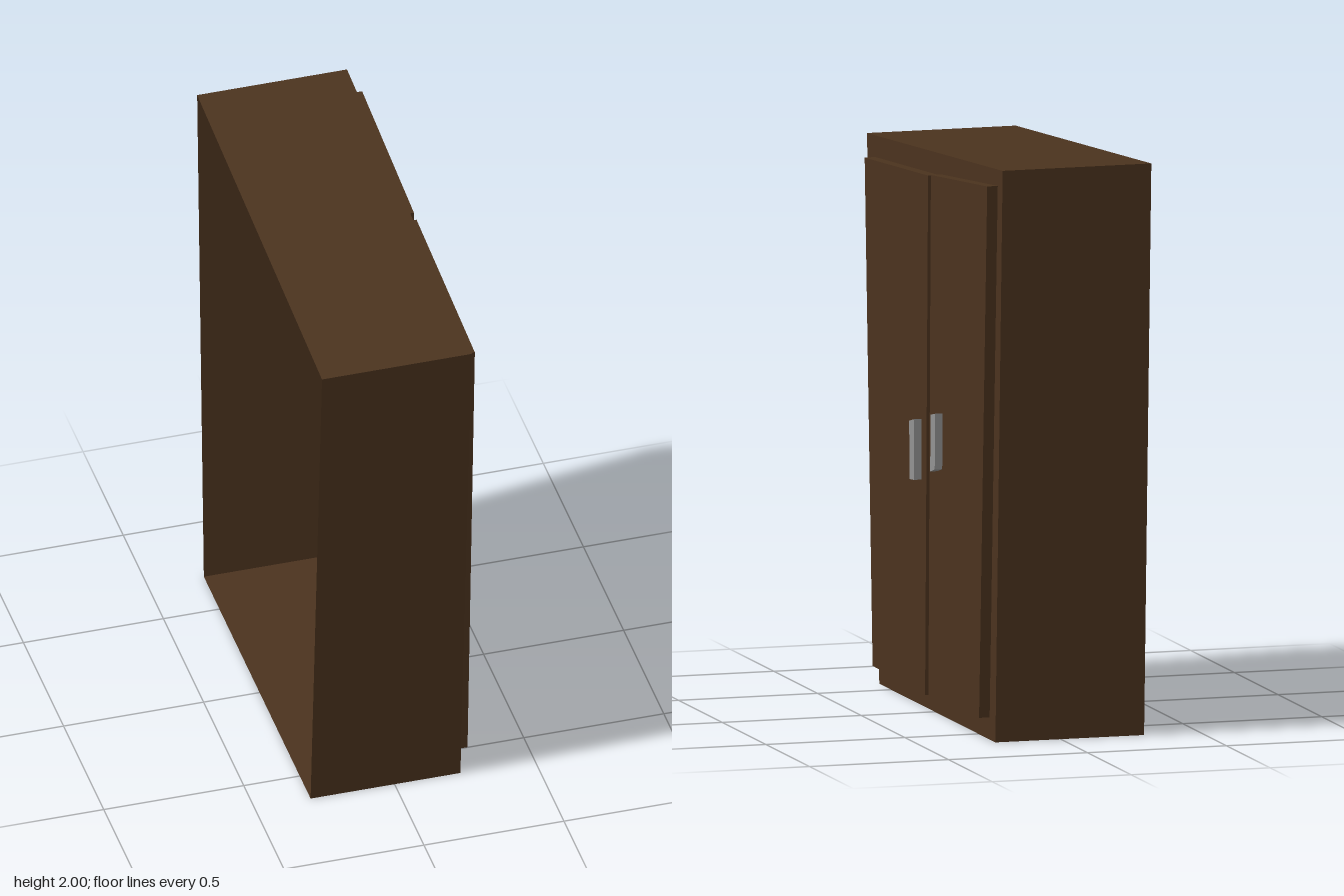
import * as THREE from 'three';

const wood = new THREE.MeshStandardMaterial({ color: 0x4b331e, side: THREE.DoubleSide });
wood.name = 'dark wood';
const metal = new THREE.MeshStandardMaterial({ color: 0x939393, side: THREE.DoubleSide });
metal.name = 'grey metal';

// Outlines are [z, y] corners, anticlockwise as seen from +x.
const body = [[0.635, 0], [-0.694, 0], [-0.777, 2], [0.777, 1.893]];
const doors = [
  {
    name: 'Left',
    outline: [[0.591, 0.071], [-0.01, 0.061], [-0.044, 1.873], [0.682, 1.824]],
    handle: [[0.081, 0.8], [0.034, 0.804], [0.029, 1.016], [0.087, 1.002]],
  },
  {
    name: 'Right',
    outline: [[-0.048, 0.066], [-0.628, 0.077], [-0.721, 1.939], [-0.076, 1.88]],
    handle: [[-0.153, 0.862], [-0.206, 0.877], [-0.212, 1.072], [-0.16, 1.061]],
  },
];

const bodyBack = -0.3, bodyFront = 0.235, doorFront = 0.273, handleFront = 0.3;
const doorInside = 0.195, handleInside = 0.207;

// Flat panel facing +x
function panel(outline, x) {
  const shape = new THREE.Shape(outline.map(([z, y]) => new THREE.Vector2(-z, y)));
  return new THREE.ShapeGeometry(shape).rotateY(Math.PI / 2).translate(x, 0, 0);
}

// Walls running round an outline from x0 to x1
function walls(outline, x0, x1) {
  const pos = [];
  outline.forEach(([z, y], i) => {
    const [nz, ny] = outline[(i + 1) % outline.length];
    pos.push(x0, y, z, x0, ny, nz, x1, ny, nz);
    pos.push(x0, y, z, x1, ny, nz, x1, y, z);
  });
  const geo = new THREE.BufferGeometry();
  geo.setAttribute('position', new THREE.Float32BufferAttribute(pos, 3));
  geo.computeVertexNormals();
  return geo;
}

// Shell open at the back: surrounding walls plus a front panel
function shell(name, outline, x0, x1, material) {
  const group = new THREE.Group();
  group.name = name;
  const sides = new THREE.Mesh(walls(outline, x0, x1), material);
  sides.name = name + 'Sides';
  const front = new THREE.Mesh(panel(outline, x1), material);
  front.name = name + 'Front';
  group.add(sides, front);
  return group;
}

export function createModel() {
  const model = new THREE.Group();
  model.name = 'wardrobe';

  // Leaning carcass, open at the back
  model.add(shell('carcass', body, bodyBack, bodyFront, wood));

  // Doors stand proud outside; their rims and handle rims also show inside
  for (const { name, outline, handle } of doors) {
    model.add(shell('door' + name, outline, doorInside, doorFront, wood));
    model.add(shell('handle' + name, handle, handleInside, handleFront, metal));
  }
  return model;
}
